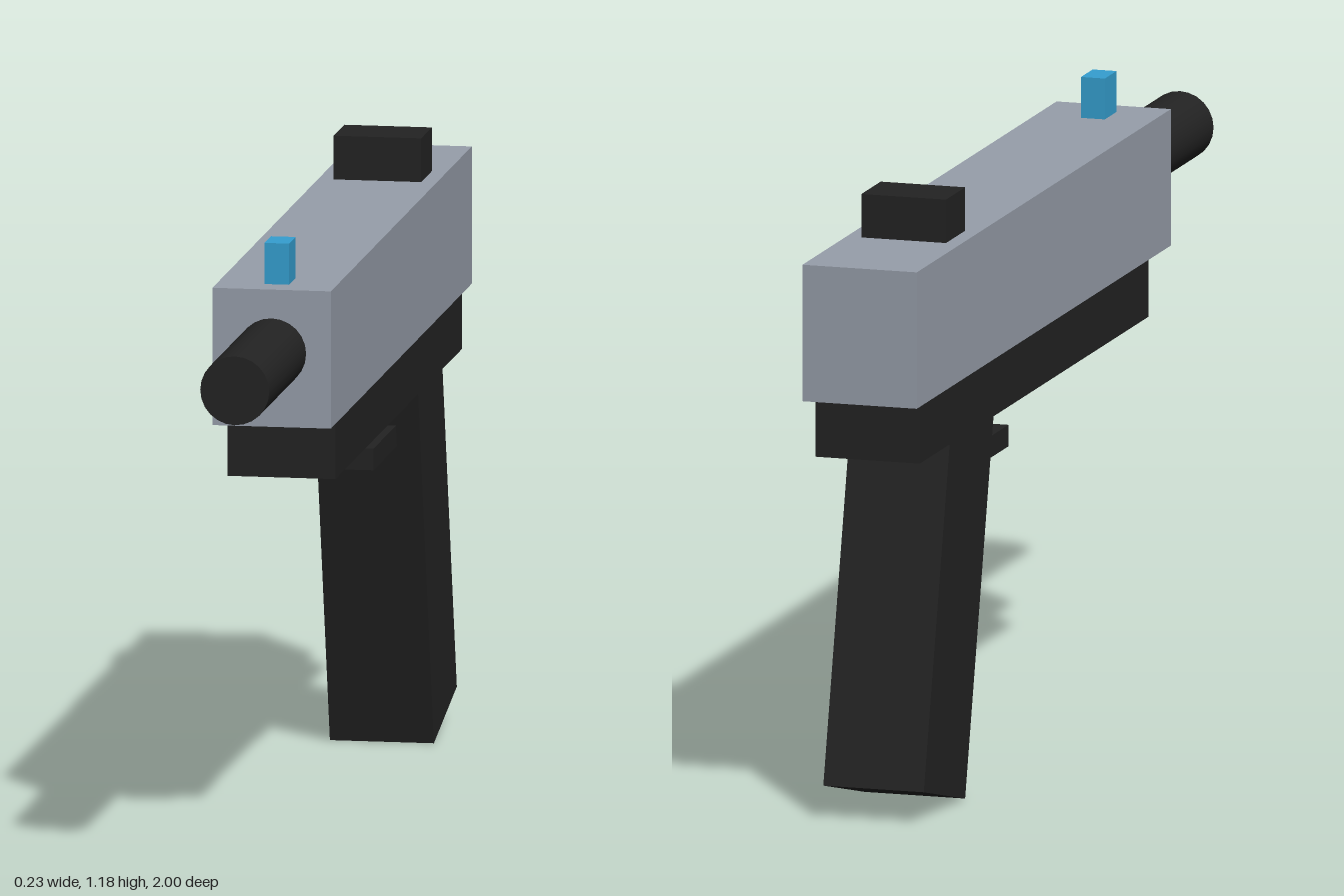
import * as THREE from 'three';

const material = (name, color) => {
  const m = new THREE.MeshStandardMaterial({ color });
  m.name = name;
  return m;
};

export function createModel() {
  const group = new THREE.Group();
  group.name = 'pistol';
  const grey = material('slideGrey', 0x979eaa);
  const black = material('matteBlack', 0x232323);
  const blue = material('sightBlue', 0x359fd0);

  const add = (name, geometry, mat) => {
    const mesh = new THREE.Mesh(geometry, mat);
    mesh.name = name;
    group.add(mesh);
    return mesh;
  };
  // Box centred on x = 0, given its width and its y and z ranges
  const block = (name, mat, width, y0, y1, z0, z1) =>
    add(name, new THREE.BoxGeometry(width, y1 - y0, z1 - z0), mat)
      .position.set(0, (y0 + y1) / 2, (z0 + z1) / 2);

  // Body
  block('slide', grey, 0.23, 0.833, 1.1, -1, 0.585);
  block('frame', black, 0.21, 0.715, 0.833, -0.95, 0.475);
  block('trigger', black, 0.11, 0.603, 0.645, -0.56, -0.242);

  // Sights
  block('rearSight', black, 0.17, 1.1, 1.185, -0.725, -0.605);
  block('frontSight', blue, 0.048, 1.1, 1.18, 0.455, 0.528);

  // Barrel, running along z
  const barrel = new THREE.CylinderGeometry(0.067, 0.067, 0.435, 24).rotateX(Math.PI / 2);
  add('barrel', barrel, black).position.set(0, 0.977, 0.7825);

  // Grip, pivoting on its lower front edge and leaning back
  const depth = 0.266, length = 0.78;
  const gripGeometry = new THREE.BoxGeometry(0.202, length, depth).translate(0, length / 2, -depth / 2);
  const grip = add('grip', gripGeometry, black);
  grip.position.set(0, 0, -0.655);
  grip.rotation.x = 0.244;

  return group;
}
